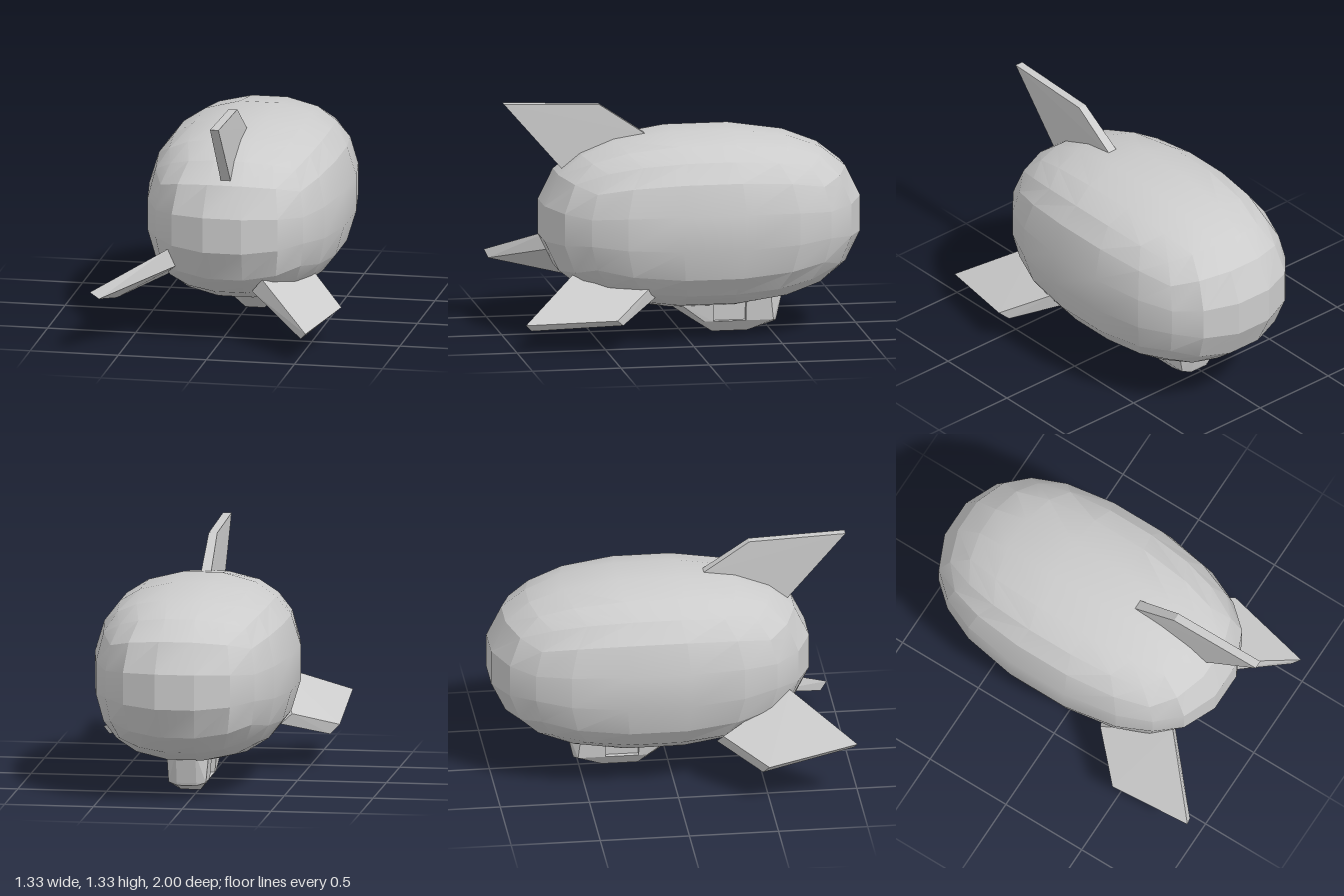
import * as THREE from 'three';
import { toCreasedNormals } from 'three/addons/utils/BufferGeometryUtils.js';
import { ConvexGeometry } from 'three/addons/geometries/ConvexGeometry.js';

const CX = 0.045; // centre line of the airship
const material = new THREE.MeshStandardMaterial({ color: 0xcccccc });

function addMesh(parent, name, geometry) {
  const mesh = new THREE.Mesh(geometry, material);
  mesh.name = name;
  parent.add(mesh);
}

// Convex solid around a handful of corners
const solid = (corners) => new ConvexGeometry(corners.map((c) => new THREE.Vector3(...c)));

// Mirrored pairs of corners from [z, y, halfWidth] stations
const pairs = (stations) =>
  solid(stations.flatMap(([z, y, w]) => [[CX - w, y, z], [CX + w, y, z]]));

// Gas bag: a 5 x 5 x 5 box rounded into a slightly square ellipsoid
function envelopeGeometry() {
  const geometry = new THREE.BoxGeometry(2, 2, 2, 5, 5, 5);
  const position = geometry.attributes.position;
  const power = 2.4;
  const v = new THREE.Vector3();
  for (let i = 0; i < position.count; i++) {
    v.fromBufferAttribute(position, i);
    const sum = [v.x, v.y, v.z].reduce((s, c) => s + Math.abs(c) ** power, 0);
    v.divideScalar(sum ** (1 / power) * 0.983);
    position.setXYZ(i, CX + v.x * 0.553, 0.656 + v.y * 0.497, -0.107 + v.z * 0.892);
  }
  geometry.deleteAttribute('uv');
  return toCreasedNormals(geometry, THREE.MathUtils.degToRad(20));
}

export function createModel() {
  const model = new THREE.Group();
  model.name = 'airship';

  addMesh(model, 'envelope', envelopeGeometry());

  // Tail fins: root and tip corners on both faces of each plate
  addMesh(model, 'topFin', pairs([
    [1.0, 1.325, 0.024], [0.46, 1.305, 0.024], [0.2, 1.13, 0.028], [0.67, 0.945, 0.028],
  ]));
  addMesh(model, 'leftFin', solid([
    [0.555, 0.165, 0.96], [0.66, 0.195, 0.46], [0.46, 0.335, 0.24], [0.245, 0.38, 0.64],
    [0.52, 0.125, 0.92], [0.62, 0.16, 0.42], [0.41, 0.27, 0.2], [0.18, 0.3, 0.6],
  ]));
  addMesh(model, 'rightFin', solid([
    [-0.665, 0.35, 0.985], [-0.665, 0.235, 0.49], [-0.43, 0.33, 0.26], [-0.29, 0.53, 0.65],
    [-0.615, 0.31, 0.97], [-0.615, 0.185, 0.46], [-0.37, 0.275, 0.23], [-0.225, 0.44, 0.62],
  ]));

  // Gondola: keel, tail and nose blocks around a recessed window bay
  const gondola = new THREE.Group();
  gondola.name = 'gondola';
  model.add(gondola);
  addMesh(gondola, 'keel', pairs([
    [-0.17, 0, 0.055], [-0.37, 0, 0.055], [-0.53, 0.05, 0.055], [-0.535, 0.065, 0.055],
    [-0.51, 0.065, 0.105], [-0.12, 0.065, 0.105], [-0.07, 0.065, 0.055],
  ]));
  addMesh(gondola, 'tailBlock', pairs([
    [-0.17, 0.065, 0.105], [-0.12, 0.065, 0.105], [-0.07, 0.065, 0.055],
    [-0.17, 0.23, 0.12], [0.03, 0.18, 0.12], [0.1, 0.18, 0.055],
  ]));
  addMesh(gondola, 'noseBlock', pairs([
    [-0.355, 0.065, 0.105], [-0.51, 0.065, 0.105], [-0.535, 0.065, 0.055],
    [-0.355, 0.24, 0.12], [-0.49, 0.24, 0.12], [-0.575, 0.24, 0.055],
  ]));
  addMesh(gondola, 'windowBay', pairs([
    [-0.16, 0.06, 0.075], [-0.36, 0.06, 0.075], [-0.16, 0.23, 0.085], [-0.36, 0.23, 0.085],
  ]));

  return model;
}
